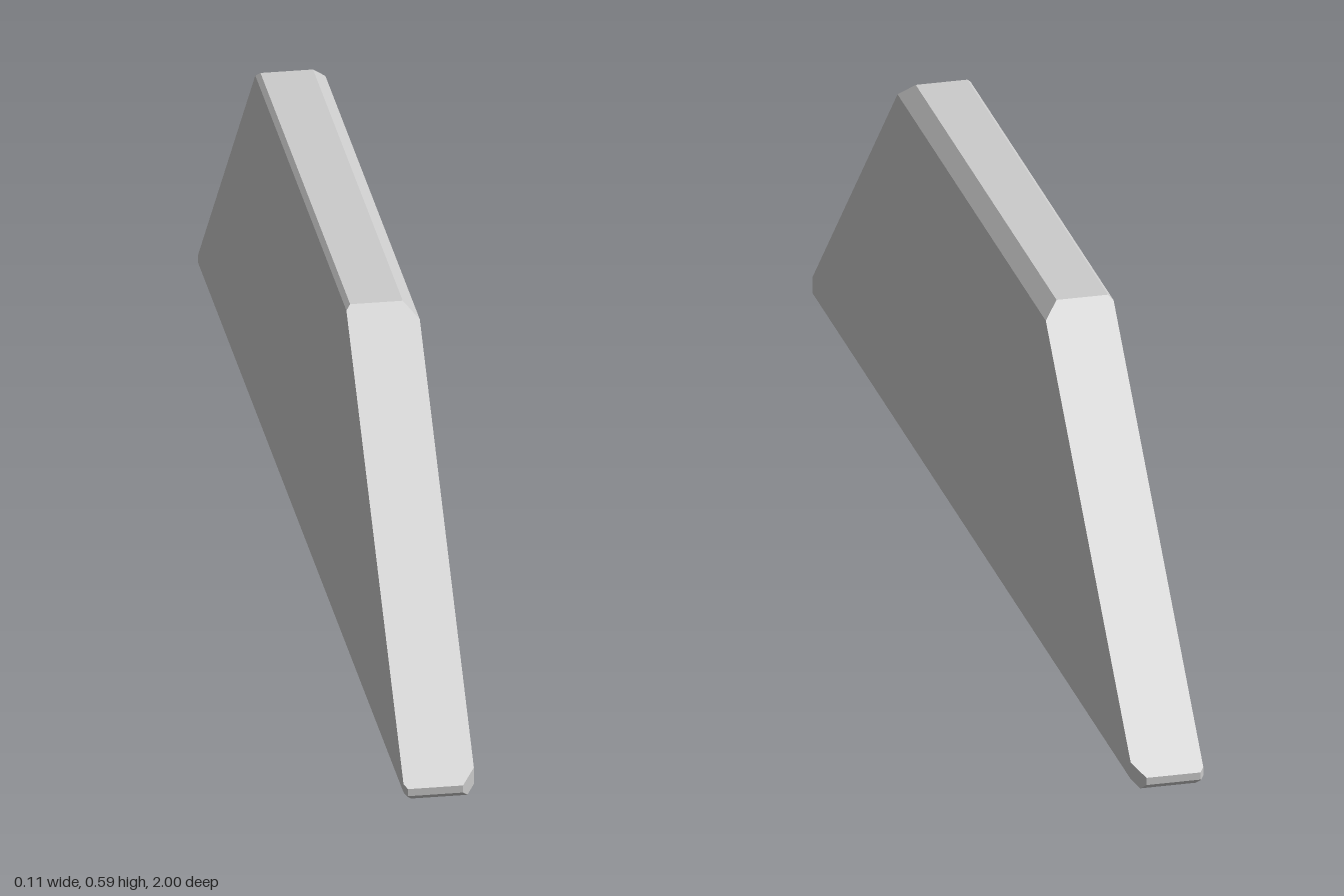
import * as THREE from 'three';
import { ConvexGeometry } from 'three/addons/geometries/ConvexGeometry.js';

// Corners of the +z half of the chamfered slab; the other half mirrors it.
const topCorners = [
  [-0.056, 0.579, 0.441], [-0.049, 0.586, 0.434],
  [0.033, 0.586, 0.434], [0.056, 0.563, 0.457],
];
const tipCorners = [
  // upper edge of the blunt tip and its side chamfers
  [-0.056, 0.026, 0.994], [-0.05, 0.02, 1], [0.036, 0.02, 1], [0.056, 0.04, 0.98],
  // lower edge of the blunt tip and its side chamfers
  [-0.056, 0.012, 0.994], [-0.051, 0.007, 0.999], [-0.05, 0.008, 1],
  [0.036, 0.008, 1], [0.056, 0.012, 0.98],
  // underside
  [-0.044, 0, 0.992], [0.044, 0, 0.992],
];

export function createModel() {
  const group = new THREE.Group();
  group.name = 'trapezoidSlab';

  const points = [];
  for (const [x, y, z] of [...topCorners, ...tipCorners])
    for (const side of [1, -1]) points.push(new THREE.Vector3(x, y, side * z));

  const slab = new THREE.Mesh(
    new ConvexGeometry(points),
    new THREE.MeshStandardMaterial({ color: 0xcccccc, flatShading: true })
  );
  slab.name = 'chamferedSlab';
  group.add(slab);
  return group;
}
